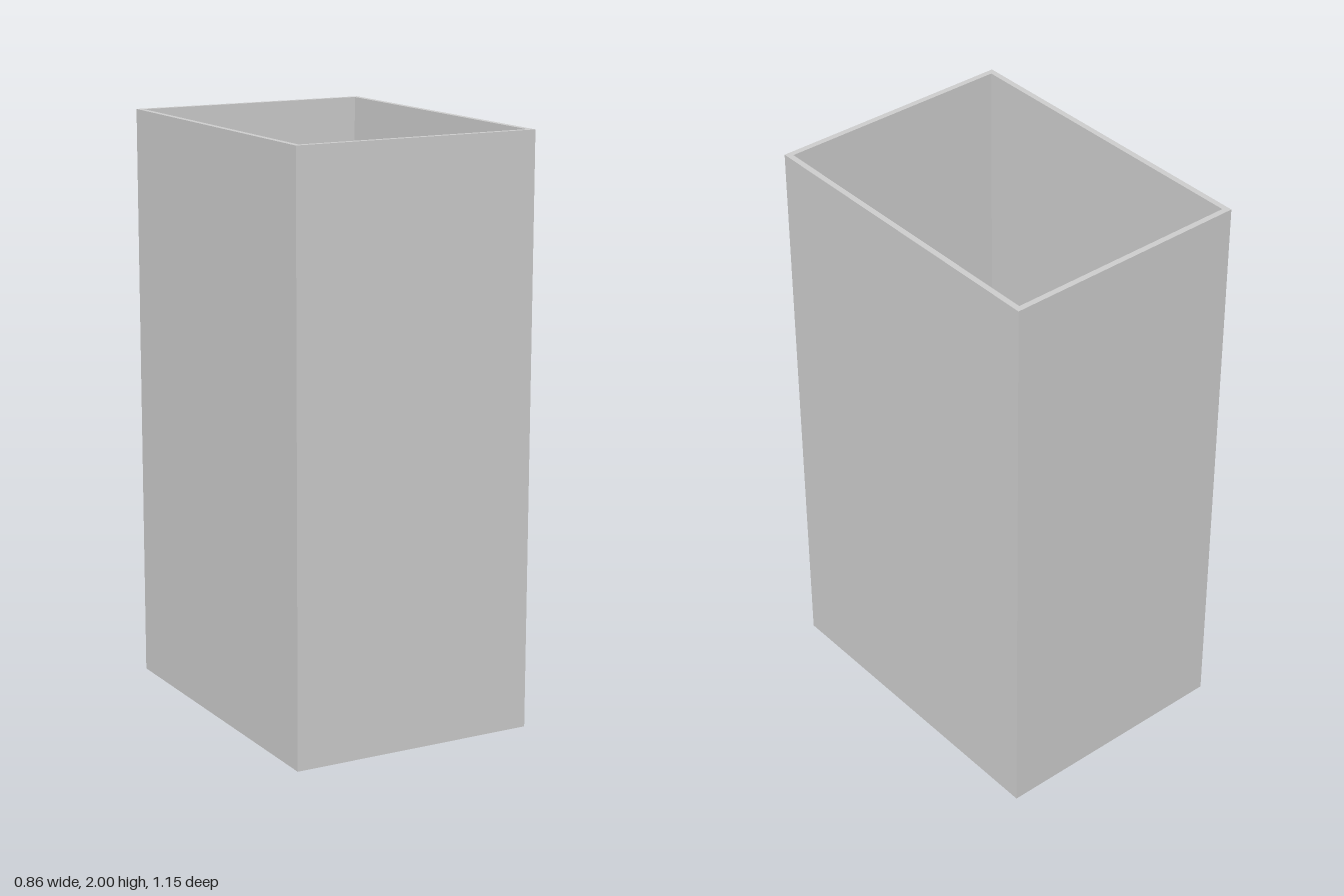
import * as THREE from 'three';

export function createModel() {
  const model = new THREE.Group();
  const material = new THREE.MeshStandardMaterial({ color: 0xcccccc, flatShading: true });

  const width = 0.86, depth = 1.15, height = 2, wall = 0.02, floorThickness = 0.02;

  const add = (name, geometry, x, y, z, parent = model) => {
    const mesh = new THREE.Mesh(geometry, material);
    mesh.name = name;
    mesh.position.set(x, y, z);
    parent.add(mesh);
  };

  // Walls: a rectangular ring raised to full height
  const ring = new THREE.Shape([[-1, -1], [1, -1], [1, 1], [-1, 1]]
    .map(([x, z]) => new THREE.Vector2(x * width / 2, z * depth / 2)));
  ring.holes.push(new THREE.Path([[-1, -1], [-1, 1], [1, 1], [1, -1]]
    .map(([x, z]) => new THREE.Vector2(x * (width / 2 - wall), z * (depth / 2 - wall)))));
  const walls = new THREE.ExtrudeGeometry(ring, { depth: height, bevelEnabled: false });
  walls.rotateX(-Math.PI / 2);
  add('walls', walls, 0, 0, 0);

  // Floor closing the bottom of the shaft
  add('floor', new THREE.BoxGeometry(width - 2 * wall, floorThickness, depth - 2 * wall),
    0, floorThickness / 2, 0);

  // Spikes: slim square pyramids in staggered rows of nine and ten
  const spikes = new THREE.Group();
  spikes.name = 'spikes';
  model.add(spikes);
  const spikeWidth = 0.043, spikeHeight = 0.25;
  const spike = new THREE.ConeGeometry(spikeWidth / Math.SQRT2, spikeHeight, 4, 1, true);
  spike.rotateY(Math.PI / 4);
  const rows = [-0.475, -0.361, -0.248, -0.134, -0.017, 0.091, 0.18, 0.253, 0.338, 0.411, 0.498];
  rows.forEach((z, row) => {
    const count = row % 2 ? 10 : 9;
    const reach = row % 2 ? 0.364 : 0.329;
    for (let i = 0; i < count; i++) {
      const x = -reach + (2 * reach * i) / (count - 1);
      add('spike', spike, x, floorThickness + spikeHeight / 2, z, spikes);
    }
  });

  return model;
}
